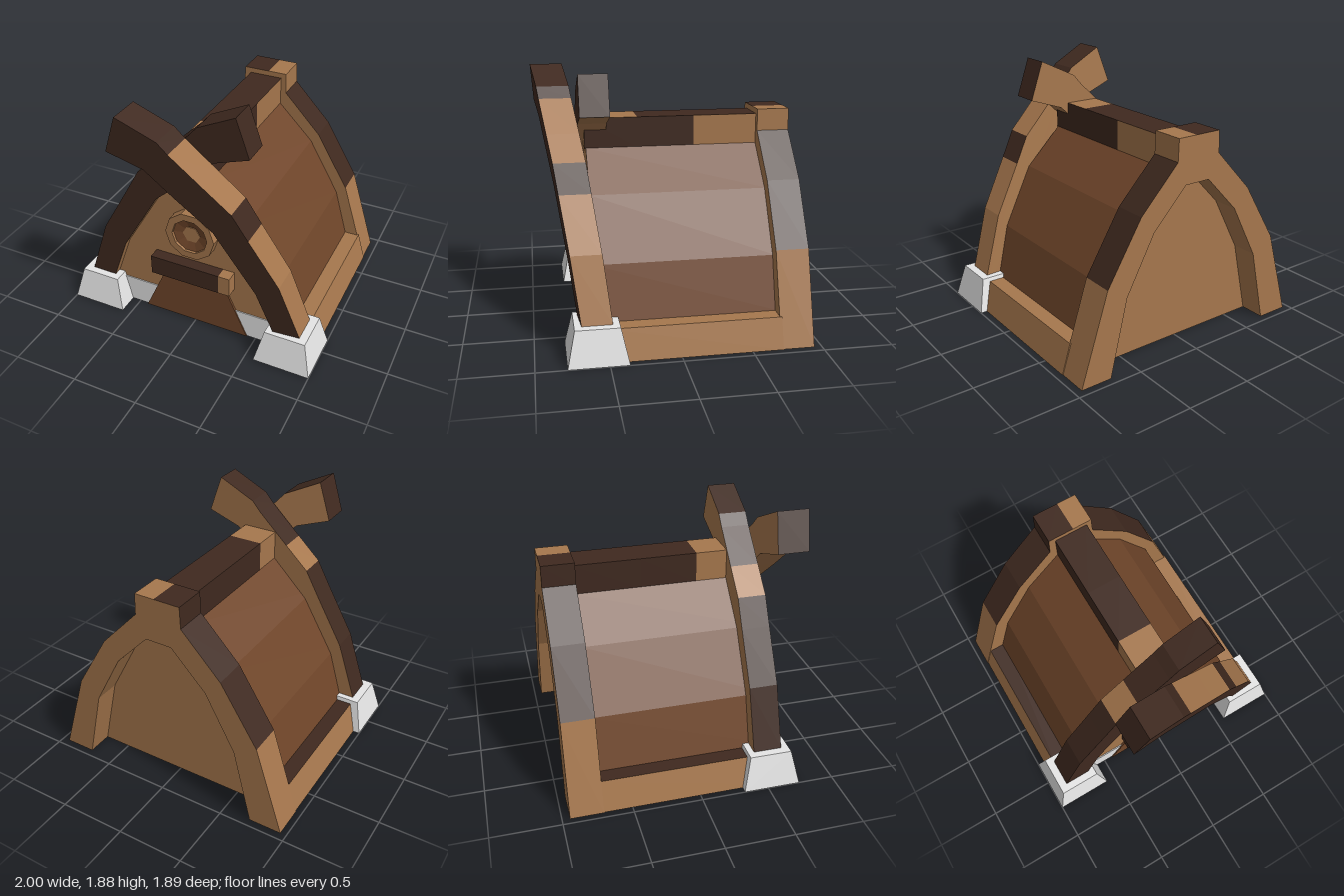
import * as THREE from 'three';

export function createModel() {
  const model = new THREE.Group();
  const mat = (name, color, side = THREE.FrontSide) => {
    const m = new THREE.MeshStandardMaterial({ color, side });
    m.name = name;
    return m;
  };
  const dark = mat('dark timber', 0x3f291f);
  const tan = mat('tan timber', 0xa6774d);
  const brown = mat('roof brown', 0x70462a, THREE.DoubleSide);
  const grey = mat('stone grey', 0xe5e5e5, THREE.DoubleSide);
  const palette = { D: dark, T: tan, B: brown, G: grey };
  const keys = Object.keys(palette);

  const add = (name, geometry, material, x = 0, y = 0, z = 0) => {
    const mesh = new THREE.Mesh(geometry, material);
    mesh.name = name;
    mesh.position.set(x, y, z);
    model.add(mesh);
    return mesh;
  };

  // Box given by its limits
  const block = (name, material, x0, x1, y0, y1, z0, z1) =>
    add(name, new THREE.BoxGeometry(x1 - x0, y1 - y0, z1 - z0), material,
      (x0 + x1) / 2, (y0 + y1) / 2, (z0 + z1) / 2);

  // Prism along z from a counterclockwise outline; one colour letter per side
  // (the last repeats), then one each for the caps. lean(x, y, z) shifts z.
  function prism(name, pts, sides, front, back, z0, z1, lean = () => 0) {
    const buckets = Object.fromEntries(keys.map(k => [k, []]));
    const at = (p, z) => [p[0], p[1], z + lean(p[0], p[1], z)];
    const n = pts.length;
    pts.forEach((p, i) => {
      const q = pts[(i + 1) % n];
      const a = at(p, z0), b = at(q, z0), c = at(q, z1), d = at(p, z1);
      buckets[sides[i] || sides[sides.length - 1]].push(...a, ...b, ...c, ...a, ...c, ...d);
    });
    const contour = pts.map(p => new THREE.Vector2(p[0], p[1]));
    for (const [a, b, c] of THREE.ShapeUtils.triangulateShape(contour, [])) {
      buckets[front].push(...at(pts[a], z1), ...at(pts[b], z1), ...at(pts[c], z1));
      buckets[back].push(...at(pts[a], z0), ...at(pts[c], z0), ...at(pts[b], z0));
    }
    const g = new THREE.BufferGeometry();
    const all = [];
    keys.forEach((k, i) => {
      if (buckets[k].length) g.addGroup(all.length / 3, buckets[k].length / 3, i);
      all.push(...buckets[k]);
    });
    g.setAttribute('position', new THREE.Float32BufferAttribute(all, 3));
    g.computeVertexNormals();
    return add(name, g, keys.map(k => palette[k]));
  }
  const flip = pts => pts.map(([x, y]) => [-x, y]).reverse();
  const symmetric = half => [...half, ...flip(half)];

  // Crossed front beams: one upright, one leaning forward
  const beam = [[0.96, 0], [0.88, 0.25], [0.73, 0.7], [0.52, 1.07], [0.41, 1.27], [0.23, 1.44],
    [0, 1.66], [-0.07, 1.74], [-0.35, 1.875], [-0.45, 1.59], [-0.19, 1.5], [0, 1.32],
    [0.27, 1.08], [0.56, 0.59], [0.68, 0.25], [0.74, 0]];
  prism('leaningBeam', beam, 'TTTDTTDDDT', 'D', 'T', -0.21, 0,
    (x, y, z) => 0.73 + 0.1 * y - 0.085 * x + 0.08 * y * z);
  prism('uprightBeam', flip(beam), 'TTTTTTDDDDTDDDDT', 'D', 'T', 0.42, 0.63);

  // Tapered stone feet, open below
  for (const [name, x, z] of [['leftFoot', 0.785, 0.575], ['rightFoot', -0.785, 0.53]]) {
    const g = new THREE.BoxGeometry(0.43, 0.25, 0.42);
    const p = g.attributes.position;
    for (let i = 0; i < p.count; i++) {
      if (p.getY(i) > 0) p.setXYZ(i, p.getX(i) * 0.72, p.getY(i), p.getZ(i) * 0.74);
    }
    g.setIndex([...g.index.array].filter((_, i) => i < 18 || i >= 24));
    g.clearGroups();
    g.computeVertexNormals();
    add(name, g, grey, x, 0.125, z);
  }

  // Roof body: its front cap is the front wall, its underside the floor
  const roof = symmetric([[0.775, 0.2], [0.77, 0.22], [0.66, 0.6], [0.41, 1.03], [0.13, 1.31]]);
  prism('roof', roof, 'BBBBBBBBBD', 'T', 'T', -0.72, 0.57);
  block('frontWallBase', tan, -0.76, 0.76, 0, 0.22, 0.42, 0.565);

  // Rear arch with a stepped ridge block, and its recessed panel
  const outer = [[0.945, 0], [0.735, 0.66], [0.47, 1.1], [0.175, 1.41], [0.17, 1.57], [0.02, 1.57],
    [-0.18, 1.57], [-0.185, 1.41], [-0.48, 1.1], [-0.755, 0.66], [-0.955, 0]];
  const inner = symmetric([[0.71, 0], [0.58, 0.56], [0.36, 0.97], [0.1, 1.24]]);
  prism('rearArch', [...outer, ...[...inner].reverse()], 'TDDTTDDDDT', 'T', 'T', -0.945, -0.705);
  prism('rearPanel', inner, 'T', 'T', 'T', -0.755, -0.71);

  // Side sills; the top faces differ in colour
  const sill = [[0.95, 0], [0.885, 0.22], [0.74, 0.22], [0.79, 0]];
  prism('leftSill', sill, 'TTBT', 'T', 'T', -0.72, 0.5);
  prism('rightSill', flip(sill), 'BDTT', 'T', 'T', -0.72, 0.5);

  // Ridge beam, with tan stretches
  const ridge = [[0.13, 1.305], [0.13, 1.53], [-0.13, 1.53], [-0.13, 1.305]];
  prism('ridgeRear', ridge, 'TDDD', 'D', 'D', -0.72, -0.23);
  prism('ridgeMiddle', ridge, 'DDDD', 'D', 'D', -0.23, 0.19);
  prism('ridgeFront', ridge, 'DTTD', 'T', 'D', 0.19, 0.58);

  // Stone blocks beside the door, door and lintel
  const stone = [[0.7, 0], [0.7, 0.215], [0.3, 0.215], [0.39, 0]];
  prism('leftDoorStone', stone, 'G', 'G', 'G', 0.45, 0.578);
  prism('rightDoorStone', flip(stone), 'G', 'G', 'G', 0.45, 0.578);
  prism('door', [[0.43, 0], [0.24, 0.42], [-0.24, 0.42], [-0.43, 0]], 'B', 'B', 'B', 0.5, 0.587);
  block('lintel', dark, -0.325, 0.23, 0.415, 0.57, 0.5, 0.66);
  block('lintelEnd', tan, 0.23, 0.32, 0.415, 0.57, 0.5, 0.66);

  // Round window: rim, shallow funnel-shaped dish and boss
  const ring = (r, n) => Array.from({ length: n }, (_, i) => {
    const a = i * 2 * Math.PI / n;
    return new THREE.Vector2(r * Math.cos(a), r * Math.sin(a));
  });
  const rim = new THREE.Shape(ring(0.195, 10));
  rim.holes.push(new THREE.Path(ring(0.14, 10)));
  add('windowRim', new THREE.ExtrudeGeometry(rim, { depth: 0.09, bevelEnabled: false }),
    tan, 0, 0.842, 0.56);
  const disc = (name, front, back, n, depth, open, z, m) => {
    const g = new THREE.CylinderGeometry(front, back, depth, n, 1, open)
      .rotateX(Math.PI / 2).rotateZ(Math.PI / n).toNonIndexed();
    g.computeVertexNormals();
    add(name, g, m, 0, 0.842, z);
  };
  disc('windowDish', 0.142, 0.06, 10, 0.02, true, 0.62, brown);
  disc('windowBoss', 0.07, 0.07, 6, 0.05, false, 0.592, tan);

  return model;
}
